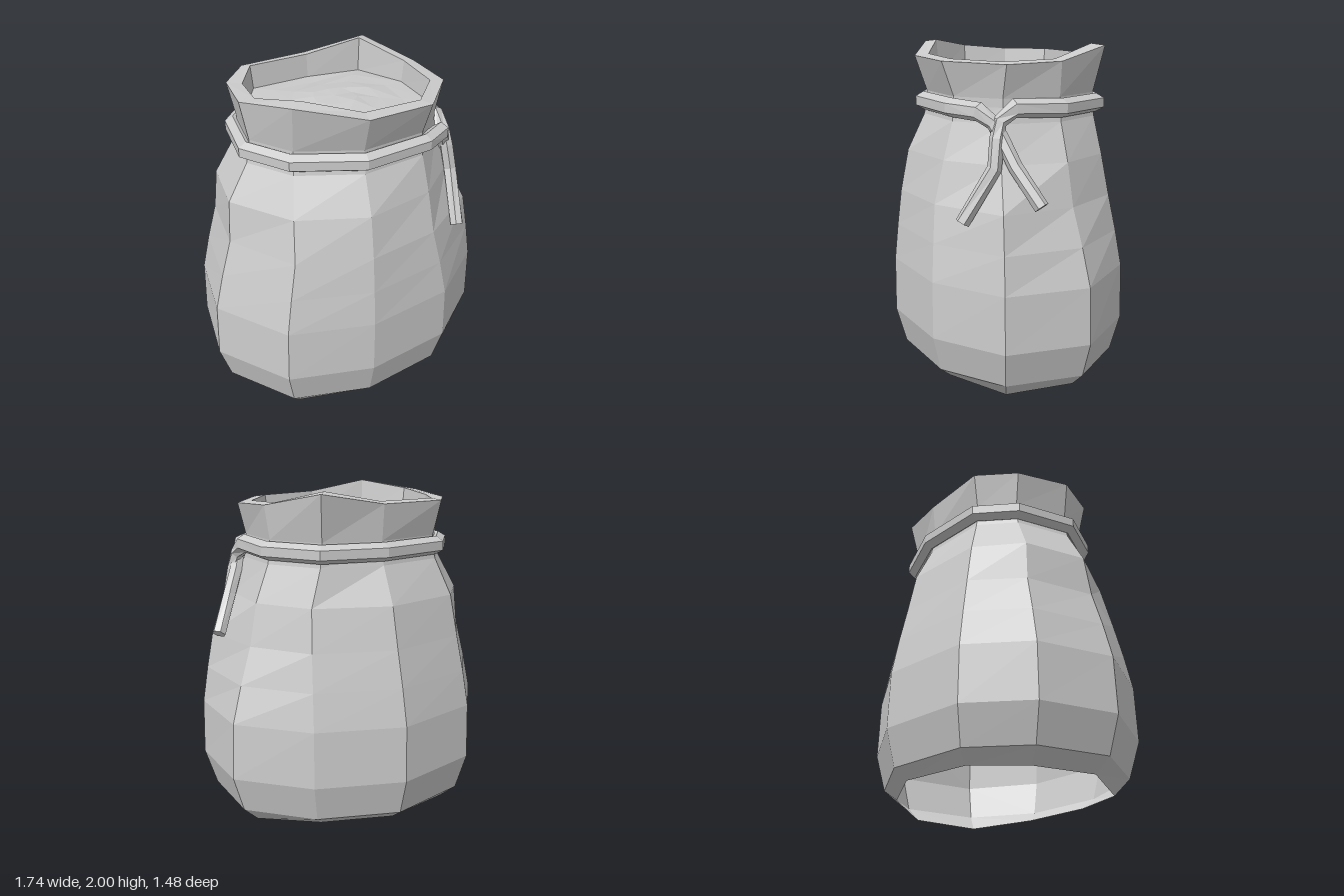
import * as THREE from 'three';

// The sack is a thin sheet, open underneath
const material = new THREE.MeshStandardMaterial({
  color: 0xcccccc, flatShading: true, side: THREE.DoubleSide,
});

// Ten-sided outlines [x, z], running back -> left side (+x) -> front -> right side (-x)
const belly = [[-0.07, -0.735], [0.46, -0.6], [0.84, -0.27], [0.87, 0.24], [0.53, 0.59],
  [-0.01, 0.745], [-0.53, 0.67], [-0.87, 0.28], [-0.85, -0.2], [-0.61, -0.55]];
const waist = [[-0.05, -0.64], [0.43, -0.51], [0.69, -0.2], [0.79, 0.23], [0.43, 0.55],
  [-0.01, 0.69], [-0.45, 0.6], [-0.74, 0.24], [-0.735, -0.19], [-0.55, -0.48]];
const shoulder = [[-0.04, -0.59], [0.41, -0.465], [0.64, -0.18], [0.66, 0.21], [0.41, 0.49],
  [-0.01, 0.64], [-0.43, 0.53], [-0.72, 0.21], [-0.71, -0.18], [-0.52, -0.44]];
const neck = [[-0.03, -0.47], [0.33, -0.43], [0.54, -0.16], [0.57, 0.18], [0.38, 0.42],
  [-0.01, 0.515], [-0.385, 0.4], [-0.575, 0.18], [-0.565, -0.16], [-0.43, -0.36]];
const rimOuter = [[-0.03, -0.49], [0.36, -0.49], [0.57, -0.16], [0.62, 0.17], [0.4, 0.49],
  [-0.01, 0.585], [-0.4, 0.46], [-0.62, 0.18], [-0.61, -0.17], [-0.46, -0.4]];
const rimInner = [[-0.04, -0.42], [0.31, -0.42], [0.5, -0.14], [0.53, 0.17], [0.35, 0.43],
  [-0.01, 0.5], [-0.33, 0.4], [-0.53, 0.18], [-0.53, -0.1], [-0.42, -0.35]];
const rimY = [1.92, 1.985, 1.91, 1.9, 1.91, 1.92, 1.99, 1.945, 1.92, 1.92];
const baseY = [0.04, 0.04, 0.01, 0, 0.03, 0.03, 0.005, 0.02, 0.02, 0.03];

const ring = (outline, y, scale = 1) => outline.map(([x, z], i) =>
  new THREE.Vector3(x * scale, typeof y === 'function' ? y(i) : y, z * scale));

const blend = (from, to, t) => from.map(([x, z], i) =>
  [THREE.MathUtils.lerp(x, to[i][0], t), THREE.MathUtils.lerp(z, to[i][1], t)]);

// Skin a stack of closed rings with quads
function loft(name, rings) {
  const n = rings[0].length;
  const index = [];
  for (let r = 0; r < rings.length - 1; r++) {
    for (let i = 0; i < n; i++) {
      const a = r * n + i, b = r * n + (i + 1) % n;
      index.push(b, a, a + n, b, a + n, b + n);
    }
  }
  const indexed = new THREE.BufferGeometry().setFromPoints(rings.flat());
  indexed.setIndex(index);
  const geometry = indexed.toNonIndexed();
  geometry.computeVertexNormals();
  const mesh = new THREE.Mesh(geometry, material);
  mesh.name = name;
  return mesh;
}

// Sack wall: open base, belly, gathered neck, flared rim and inner wall
function makeSack() {
  return loft('sack', [
    ring(belly, (i) => baseY[i], 0.81),
    ring(belly, 0.1, 0.92),
    ring(belly, 0.32),
    ring(blend(belly, waist, 0.08), 0.66),
    ring(blend(belly, waist, 0.5), 0.88),
    ring(waist, 1.1),
    ring(shoulder, 1.35),
    ring(blend(shoulder, neck, 0.85), 1.57),
    ring(neck, 1.66),
    ring(neck, 1.71),
    ring(rimOuter, (i) => rimY[i]),
    ring(rimInner, (i) => rimY[i] + 0.01),
    ring(rimInner, 1.78, 0.97),
  ]);
}

// Lumpy filling just below the rim
function makeFilling() {
  let seed = 7;
  const random = () => (seed = (seed * 16807) % 2147483647) / 2147483647;
  const rings = [0.98, 0.72, 0.48, 0.24].map((s) =>
    ring(rimInner, () => 1.785 + (1 - s) * 0.04 + (s < 0.9 ? (random() - 0.5) * 0.016 : 0), s));
  rings.push(ring(rimInner, 1.82, 0));
  return loft('filling', rings);
}

// Hexagonal cord swept along a path: one tail, round the neck, other tail
function makeCord() {
  const round = [4, 5, 6, 7, 8, 9, 0, 1, 2].map((i) => {
    const [x, z] = neck[i];
    const k = 1 + 0.022 / Math.hypot(x, z);
    return [x * k, 1.65, z * k];
  });
  const path = [
    [0.81, 1.14, 0.02], [0.7, 1.35, 0.14], [0.63, 1.5, 0.2], [0.6, 1.58, 0.24],
    [0.55, 1.64, 0.31], ...round,
    [0.6, 1.66, 0.12], [0.62, 1.59, 0.21], [0.64, 1.5, 0.23], [0.665, 1.34, 0.25], [0.65, 1.04, 0.43],
  ].map((p) => new THREE.Vector3(...p));
  const last = path.length - 1;
  const rings = path.map((p, k) => {
    const before = path[Math.max(k - 1, 0)], after = path[Math.min(k + 1, last)];
    const tangent = after.clone().sub(before).normalize();
    const out = new THREE.Vector3(p.x, 0, p.z).normalize();
    out.addScaledVector(tangent, -out.dot(tangent)).normalize();
    const side = tangent.clone().cross(out);
    const radius = k < 4 || k > last - 4 ? 0.042 : 0.055;
    return Array.from({ length: 6 }, (_, j) => {
      const a = -(j + 0.5) * Math.PI / 3;
      return p.clone().addScaledVector(out, Math.cos(a) * radius)
        .addScaledVector(side, Math.sin(a) * radius);
    });
  });
  // Cap both ends
  rings.unshift(rings[0].map(() => path[0].clone()));
  rings.push(rings[0].map(() => path[last].clone()));
  return loft('tieCord', rings);
}

export function createModel() {
  const model = new THREE.Group();
  model.name = 'tiedSack';
  model.add(makeSack(), makeFilling(), makeCord());
  return model;
}
